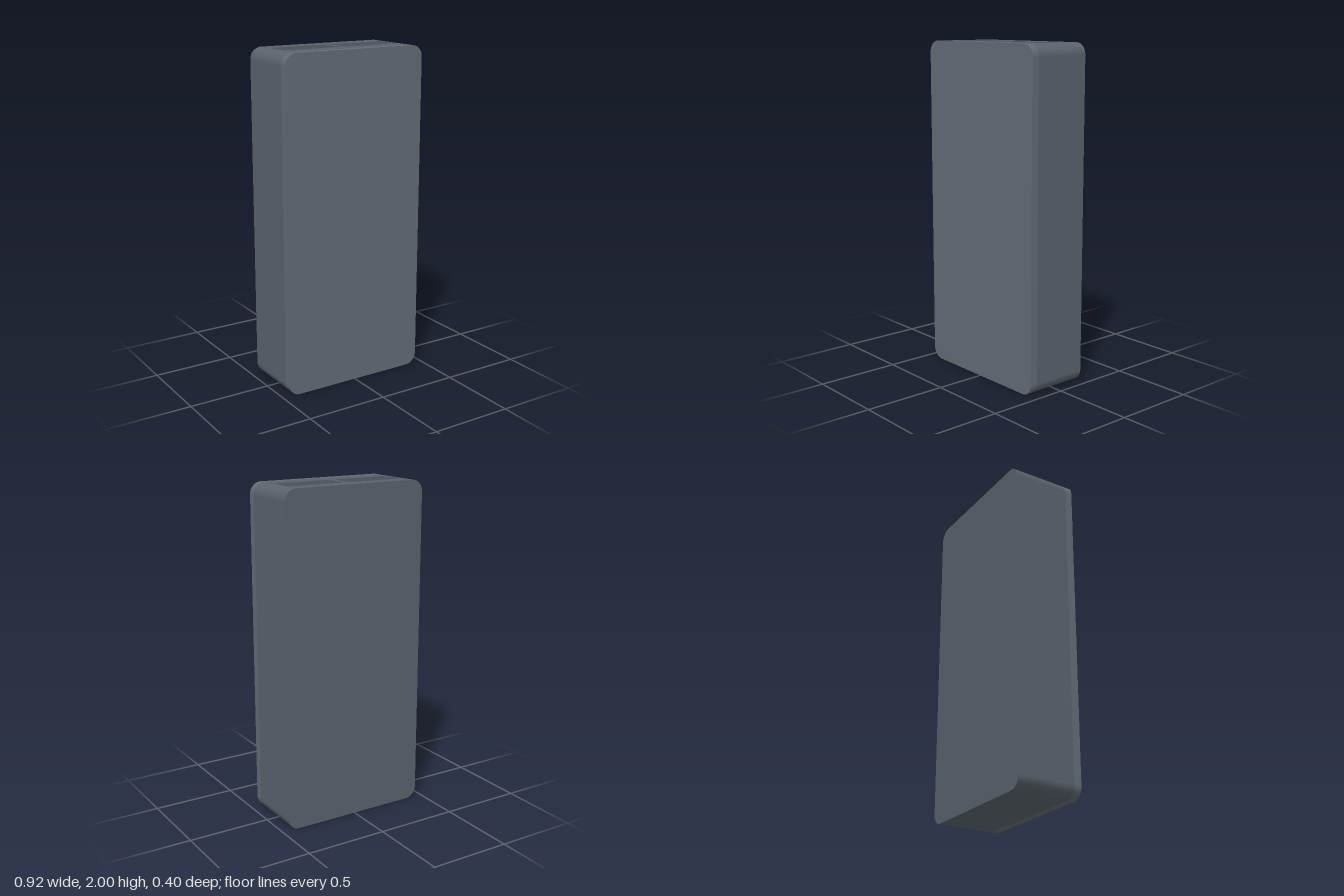
import * as THREE from 'three';

const W = 0.458, H = 2, R = 0.07, BACK = -0.2, SEAM = 0.154, FRONT = 0.2;
const SLOT = { w: 0.367, x: 0.197, back: -0.107, front: 0.058, depth: 0.2 };

const paint = (color, side = THREE.FrontSide) => {
  const m = new THREE.MeshStandardMaterial({ side });
  m.color.set(color);
  return m;
};

// Rounded outline of the case, clockwise from the top right, as [x, y, nx, ny]
function outline(steps = 12) {
  const points = [];
  [[1, 1], [1, -1], [-1, -1], [-1, 1]].forEach(([sx, sy], k) => {
    for (let i = 0; i <= steps; i++) {
      const a = Math.PI / 2 * (1 - k - i / steps);
      const nx = Math.cos(a), ny = Math.sin(a);
      points.push([sx * (W - R) + R * nx, H / 2 + sy * (H / 2 - R) + R * ny, nx, ny]);
    }
  });
  return points;
}

// Wall band between two depths, left open along the flat top
function wallBand(z0, z1) {
  const pos = [], nor = [], idx = [];
  outline().forEach(([x, y, nx, ny], i) => {
    pos.push(x, y, z1, x, y, z0);
    nor.push(nx, ny, 0, nx, ny, 0);
    if (i > 0) {
      const a = 2 * i - 2;
      idx.push(a, a + 2, a + 1, a + 2, a + 3, a + 1);
    }
  });
  const g = new THREE.BufferGeometry();
  g.setAttribute('position', new THREE.Float32BufferAttribute(pos, 3));
  g.setAttribute('normal', new THREE.Float32BufferAttribute(nor, 3));
  g.setIndex(idx);
  return g;
}

function rectangle(x0, x1, z0, z1, Type = THREE.Shape) {
  return new Type([[x0, -z1], [x1, -z1], [x1, -z0], [x0, -z0]].map(p => new THREE.Vector2(...p)));
}

export function createModel() {
  const model = new THREE.Group();
  const casePaint = paint(0x5a626b), coverPaint = paint(0x636b75);
  const insidePaint = paint(0x5a626b, THREE.BackSide), tealPaint = paint(0x45808f);

  const add = (name, geometry, material, parent = model) => {
    const mesh = new THREE.Mesh(geometry, material);
    mesh.name = name;
    parent.add(mesh);
    return mesh;
  };
  const block = (name, x0, x1, y0, y1, z0, z1, material, parent) =>
    add(name, new THREE.BoxGeometry(x1 - x0, y1 - y0, z1 - z0), material, parent)
      .position.set((x0 + x1) / 2, (y0 + y1) / 2, (z0 + z1) / 2);

  // Case walls and front cover edge
  add('caseWall', wallBand(BACK, SEAM), casePaint);
  add('frontCoverEdge', wallBand(SEAM, FRONT), coverPaint);

  // Front and back faces
  const face = new THREE.Shape(outline().map(([x, y]) => new THREE.Vector2(x, y)));
  add('frontCover', new THREE.ShapeGeometry(face), coverPaint).position.z = FRONT;
  const back = add('backPanel', new THREE.ShapeGeometry(face), casePaint);
  back.rotation.y = Math.PI;
  back.position.z = BACK;

  // Flat top with two port openings
  const flat = W - R, half = SLOT.w / 2;
  const top = rectangle(-flat, flat, BACK, SEAM);
  for (const s of [-1, 1])
    top.holes.push(rectangle(s * SLOT.x - half, s * SLOT.x + half, SLOT.back, SLOT.front, THREE.Path));
  const topPlate = (name, shape, material) => {
    const g = new THREE.ShapeGeometry(shape).rotateX(-Math.PI / 2).translate(0, H, 0);
    add(name, g, material);
  };
  topPlate('topPanel', top, casePaint);
  topPlate('frontCoverTop', rectangle(-flat, flat, SEAM, FRONT), coverPaint);

  // Ports: pocket, coloured tongue, contact strip and outer end tab
  for (const s of [-1, 1]) {
    const port = new THREE.Group();
    port.name = s > 0 ? 'leftPort' : 'rightPort';
    port.position.x = s * SLOT.x;
    model.add(port);

    const pocket = new THREE.BoxGeometry(SLOT.w, SLOT.depth, SLOT.front - SLOT.back);
    const index = Array.from(pocket.index.array);
    index.splice(12, 6); // open the top
    pocket.setIndex(index);
    add('pocket', pocket, insidePaint, port)
      .position.set(0, H - SLOT.depth / 2, (SLOT.front + SLOT.back) / 2);

    const floor = H - SLOT.depth;
    block('tongue', -half, half, floor, H - 0.05, SLOT.back, -0.062, tealPaint, port);
    block('contactStrip', -half, half, floor, H - 0.05, -0.062, -0.05, casePaint, port);
    const tab = [s * half, s * (half - 0.037)].sort((a, b) => a - b);
    block('endTab', tab[0], tab[1], floor, H - 0.035, -0.062, -0.038, casePaint, port);
  }
  return model;
}
